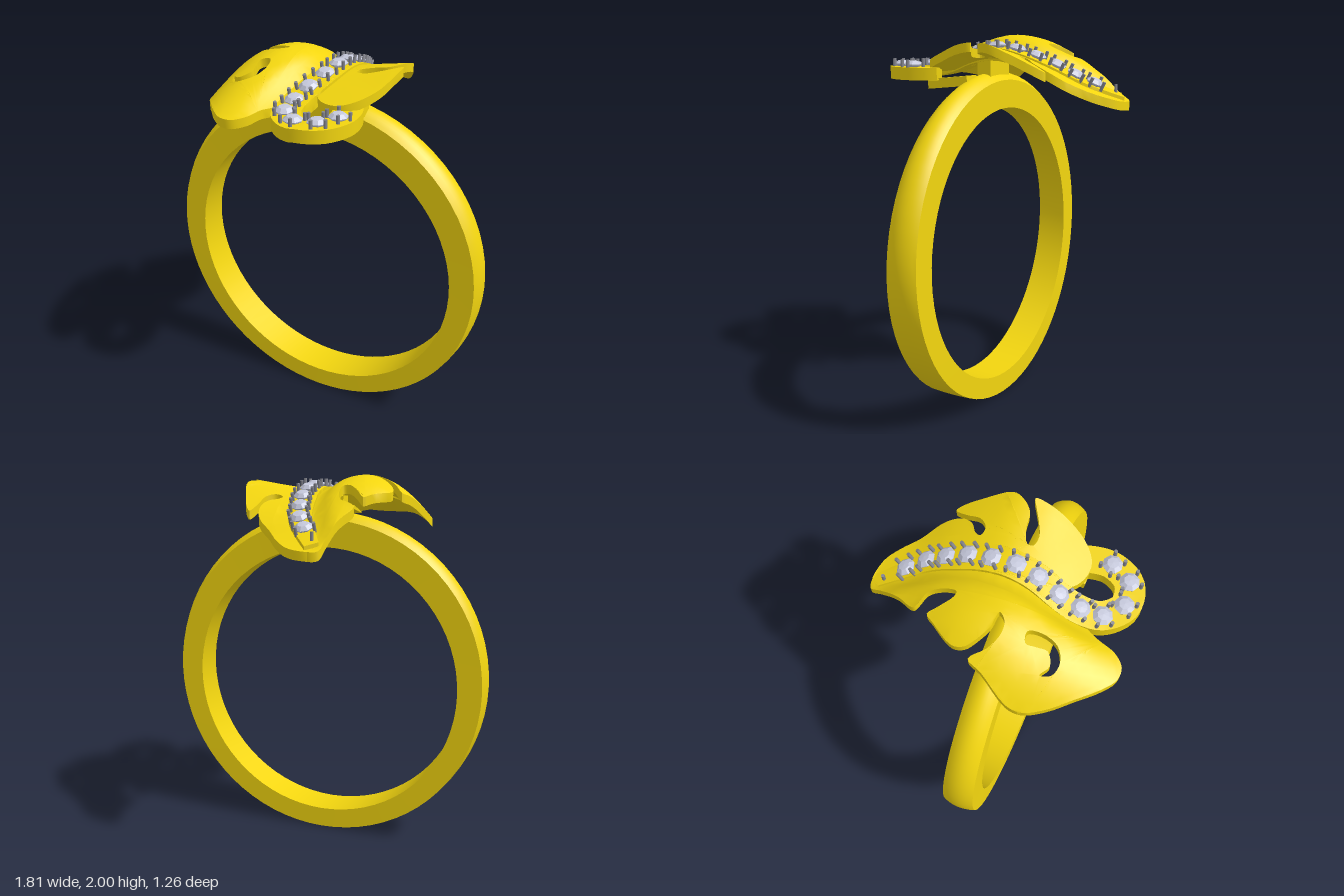
import * as THREE from 'three';
import { toCreasedNormals } from 'three/addons/utils/BufferGeometryUtils.js';

const gold = new THREE.MeshStandardMaterial({ color: 0xf2d50f });
const stone = new THREE.MeshStandardMaterial({ color: 0xc6c9dc });
const steel = new THREE.MeshStandardMaterial({ color: 0x85868f });

function add(parent, name, geometry, material) {
  const mesh = new THREE.Mesh(geometry, material);
  mesh.name = name;
  parent.add(mesh);
  return mesh;
}

// Smooth function through [z, value] pairs, z ascending
function profile(pairs) {
  const f = new THREE.CubicInterpolant(pairs.map(p => p[0]), pairs.map(p => p[1]), 1, new Float32Array(1));
  return z => f.evaluate(THREE.MathUtils.clamp(z, pairs[0][0], pairs[pairs.length - 1][0]))[0];
}

// Heights along the midrib, the left crest and the right edge; ribX is the midrib's course
const ribY = profile([[-0.63, 1.69], [-0.45, 1.77], [-0.3, 1.85], [-0.15, 1.91], [0, 1.94], [0.15, 1.92], [0.3, 1.87], [0.45, 1.84], [0.63, 1.835]]);
const crestY = profile([[-0.63, 1.7], [-0.4, 1.83], [-0.25, 1.92], [-0.1, 1.98], [0.08, 2], [0.28, 1.95], [0.45, 1.89], [0.63, 1.82]]);
const rightY = profile([[-0.63, 1.69], [-0.5, 1.74], [-0.35, 1.84], [-0.2, 1.92], [-0.08, 1.965], [0.05, 1.96], [0.2, 1.91], [0.34, 1.87]]);
const ribX = profile([[-0.63, -0.17], [-0.48, -0.08], [-0.28, 0.02], [-0.1, 0.05], [0.02, 0.05], [0.24, 0.01], [0.36, -0.01], [0.63, -0.01]]);

const ribTop = (x, z) => (x > 0.13 && z > 0.2 ? 1.84 : ribY(z));
function leafTop(x, z) {
  const d = x - ribX(z);
  const base = ribY(z) - 0.02;
  if (d > 0) return THREE.MathUtils.lerp(base, rightY(z), Math.min(d / 0.3, 1.1));
  const dome = crestY(z) - 1.9 * (x + 0.22) ** 2;
  return THREE.MathUtils.lerp(base, dome, THREE.MathUtils.smoothstep(-d, 0.02, 0.17));
}

// Split every long edge at its middle so that a flat plate can be bent
function subdivide(geometry, max) {
  const src = geometry.toNonIndexed ? (geometry.index ? geometry.toNonIndexed() : geometry) : geometry;
  const p = src.attributes.position;
  const out = [];
  const split = (a, b, c) => {
    const l = [a.distanceTo(b), b.distanceTo(c), c.distanceTo(a)];
    const m = Math.max(...l);
    if (m <= max) return out.push(...a.toArray(), ...b.toArray(), ...c.toArray());
    if (l[1] === m) [a, b, c] = [b, c, a];
    else if (l[2] === m) [a, b, c] = [c, a, b];
    const mid = a.clone().add(b).multiplyScalar(0.5);
    split(a, mid, c);
    split(mid, b, c);
  };
  const v = i => new THREE.Vector3().fromBufferAttribute(p, i);
  for (let i = 0; i < p.count; i += 3) split(v(i), v(i + 1), v(i + 2));
  const g = new THREE.BufferGeometry();
  g.setAttribute('position', new THREE.Float32BufferAttribute(out, 3));
  return g;
}

// Plate with an [x, z] outline, bent onto a height rule
function bentPlate(outline, holes, thickness, top) {
  const shape = new THREE.Shape(outline.map(([x, z]) => new THREE.Vector2(x, -z)));
  shape.holes = holes.map(h => new THREE.Path(h.map(([x, z]) => new THREE.Vector2(x, -z))));
  const flat = new THREE.ExtrudeGeometry(shape, { depth: thickness, bevelEnabled: false }).rotateX(-Math.PI / 2);
  const g = subdivide(flat, 0.06);
  const p = g.attributes.position;
  for (let i = 0; i < p.count; i++) {
    p.setY(i, p.getY(i) - thickness + top(p.getX(i), p.getZ(i)));
  }
  return toCreasedNormals(g, 0.7);
}

const curveOf = (pts, closed) => new THREE.CatmullRomCurve3(pts.map(([x, z]) => new THREE.Vector3(x, 0, z)), closed);
const smooth = pts => curveOf(pts, true).getPoints(pts.length * 4).slice(0, -1).map(v => [v.x, v.z]);

// Band: flat at the bottom, narrower and domed towards the top
function bandGeometry() {
  const n = 72, dome = 10, m = dome + 3;
  const pos = [], idx = [];
  for (let i = 0; i < n; i++) {
    const a = (i / n) * Math.PI * 2;
    const half = 0.098 - 0.026 * (1 - Math.cos(a)) / 2;
    const put = (r, c, z) => pos.push(r * Math.sin(a), c - r * Math.cos(a), 0.076 + z);
    put(0.755, 0.866, -half);
    put(0.755, 0.866, half);
    for (let k = 0; k <= dome; k++) {
      const s = 1 - (2 * k) / dome;
      const r = 0.885 + 0.02 * (1 - s * s);
      put(r, r, half * s);
    }
    for (let j = 0; j < m; j++) {
      const j2 = (j + 1) % m, i2 = (i + 1) % n;
      idx.push(i * m + j, i * m + j2, i2 * m + j, i * m + j2, i2 * m + j2, i2 * m + j);
    }
  }
  const g = new THREE.BufferGeometry();
  g.setAttribute('position', new THREE.Float32BufferAttribute(pos, 3));
  g.setIndex(idx);
  return toCreasedNormals(g, 0.5);
}

export function createModel() {
  const ring = new THREE.Group();
  ring.name = 'leafRing';
  add(ring, 'band', bandGeometry(), gold);

  // Leaf halves with notched lobes
  const rightSide = [[-0.14, -0.58], [-0.16, -0.63], [-0.05, -0.62], [0.03, -0.56], [0.1, -0.48], [0.18, -0.41], [0.21, -0.36],
    [0.22, -0.3], [0.2, -0.25], [0.16, -0.22], [0.15, -0.19], [0.19, -0.18], [0.23, -0.22], [0.24, -0.3], [0.26, -0.36],
    [0.29, -0.33], [0.33, -0.25], [0.38, -0.12], [0.36, -0.06], [0.31, -0.01], [0.24, 0], [0.17, 0.03], [0.17, 0.06],
    [0.22, 0.07], [0.28, 0.045], [0.34, 0.01], [0.38, -0.01], [0.38, 0.06], [0.35, 0.18], [0.29, 0.28], [0.22, 0.33],
    [0.15, 0.33], [0.08, 0.29], [0.04, 0.2], [0.05, 0.05], [0.06, -0.1], [0.03, -0.28], [-0.05, -0.45]];
  const leftSide = [[-0.12, -0.58], [-0.14, -0.63], [-0.2, -0.62], [-0.21, -0.56], [-0.24, -0.44], [-0.28, -0.34], [-0.25, -0.32],
    [-0.2, -0.3], [-0.17, -0.24], [-0.17, -0.17], [-0.2, -0.17], [-0.26, -0.22], [-0.3, -0.26], [-0.33, -0.22], [-0.4, -0.1],
    [-0.39, -0.04], [-0.35, 0], [-0.28, 0.04], [-0.21, 0.05], [-0.24, 0.085], [-0.3, 0.09], [-0.37, 0.055], [-0.43, -0.01],
    [-0.46, 0.06], [-0.53, 0.2], [-0.53, 0.28], [-0.48, 0.38], [-0.4, 0.48], [-0.32, 0.57], [-0.25, 0.62], [-0.19, 0.62],
    [-0.14, 0.57], [-0.11, 0.48], [-0.06, 0.38], [-0.02, 0.25], [0.02, 0.1], [0.04, -0.1], [0.01, -0.28], [-0.07, -0.45]];
  const leftHole = [[-0.38, 0.3], [-0.33, 0.33], [-0.28, 0.3], [-0.285, 0.25], [-0.29, 0.2], [-0.24, 0.19], [-0.22, 0.25],
    [-0.24, 0.33], [-0.3, 0.365], [-0.36, 0.35]];
  add(ring, 'leafRightSide', bentPlate(smooth(rightSide), [], 0.045, leafTop), gold);
  add(ring, 'leafLeftSide', bentPlate(smooth(leftSide), [smooth(leftHole)], 0.045, leafTop), gold);

  // Midrib: a ribbon that curls round at the front
  const path = curveOf([[-0.16, -0.6], [-0.08, -0.48], [-0.02, -0.38], [0.035, -0.2], [0.05, -0.09], [0.05, 0.025], [0.035, 0.135],
    [0.005, 0.245], [-0.012, 0.355], [0.005, 0.46], [0.09, 0.54], [0.2, 0.52], [0.257, 0.42], [0.25, 0.32], [0.23, 0.27]], false);
  const sides = [[], []];
  for (let i = 0; i <= 70; i++) {
    const p = path.getPointAt(i / 70), t = path.getTangentAt(i / 70);
    const w = 0.035 + 0.035 * Math.min(1, i / 18);
    sides[0].push([p.x + t.z * w, p.z - t.x * w]);
    sides[1].unshift([p.x - t.z * w, p.z + t.x * w]);
  }
  add(ring, 'midrib', bentPlate([...sides[0], ...sides[1]], [], 0.065, ribTop), gold);

  // Stones, each between four prongs
  const cut = [[0, -0.02], [0.046, 0.008], [0.048, 0.014], [0.028, 0.03], [0, 0.032]].map(p => new THREE.Vector2(...p));
  const gem = toCreasedNormals(new THREE.LatheGeometry(cut, 8), 0.05);
  const prong = new THREE.CylinderGeometry(0.009, 0.009, 0.05, 8);
  const gems = [[-0.075, -0.475], [-0.02, -0.39], [0.01, -0.3], [0.035, -0.2], [0.045, -0.09], [0.05, 0.025], [0.035, 0.135],
    [0.005, 0.245], [-0.01, 0.355], [0, 0.46], [0.085, 0.535], [0.2, 0.52], [0.255, 0.42]];
  gems.forEach(([x, z], i) => {
    const setting = new THREE.Group();
    setting.name = 'stoneSetting';
    setting.position.set(x, ribTop(x, z), z);
    setting.rotation.x = Math.atan((ribTop(x, z - 0.02) - ribTop(x, z + 0.02)) / 0.04);
    add(setting, 'stone', gem, stone).rotation.y = i * 0.7;
    const [ax, az] = gems[Math.max(i - 1, 0)], [bx, bz] = gems[Math.min(i + 1, gems.length - 1)];
    const along = Math.atan2(bz - az, bx - ax);
    for (const turn of [0.95, Math.PI - 0.95, Math.PI + 0.95, -0.95]) {
      add(setting, 'prong', prong, steel).position.set(0.056 * Math.cos(along + turn), 0.015, 0.056 * Math.sin(along + turn));
    }
    ring.add(setting);
  });
  add(ring, 'tipProng', prong, steel).position.set(-0.15, ribY(-0.565) + 0.015, -0.565);

  // Supports joining leaf and band
  add(ring, 'leafSupport', new THREE.BoxGeometry(0.2, 0.12, 0.08), gold).position.set(0, 1.83, 0.076);
  const strut = add(ring, 'curlSupport', new THREE.BoxGeometry(0.1, 0.05, 0.24), gold);
  strut.position.set(0.2, 1.765, 0.21);
  strut.rotation.x = 0.1;
  return ring;
}
